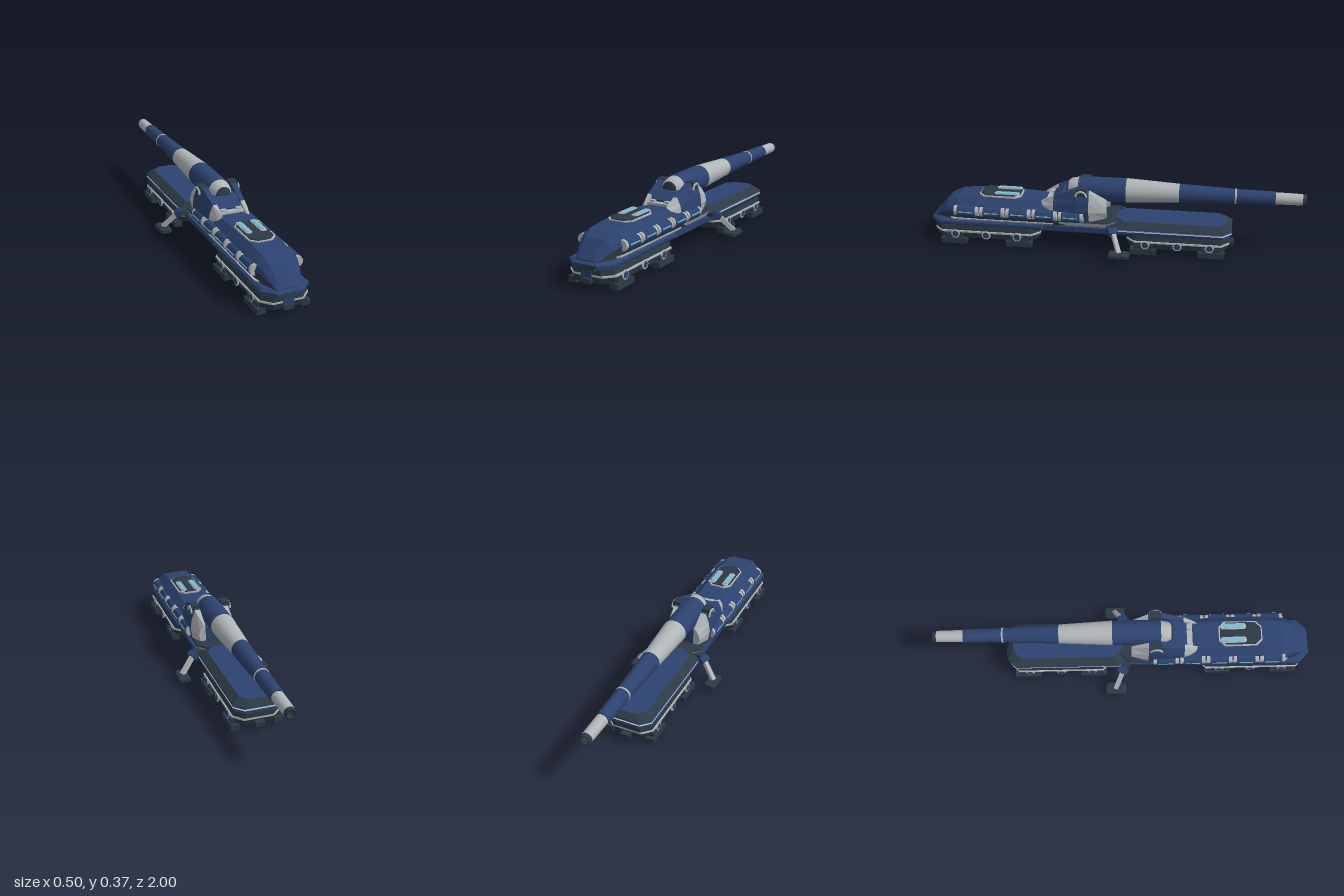
import * as THREE from 'three';

const mat = (name, color) => Object.assign(new THREE.MeshStandardMaterial({ color }), { name });
const navy = mat('navy blue', 0x2c426f);
const slate = mat('dark slate', 0x2c3a45);
const light = mat('light grey', 0xb0b5b8);
const glass = mat('cyan glass', 0x78bcd2);

// Skin closed rings of [x, y] stacked along z; pick(segment, row) gives each face its material
function loft(sections, pick) {
  const tris = new Map();
  const add = (m, ...pts) => {
    if (!tris.has(m)) tris.set(m, []);
    for (const p of pts) tris.get(m).push(...p);
  };
  const n = sections[0].ring.length, last = sections.length - 1;
  const at = (i, j) => [...sections[i].ring[j % n], sections[i].z];
  for (let i = 0; i < last; i++) {
    for (let j = 0; j < n; j++) {
      const [a, b, c, d] = [at(i, j), at(i, j + 1), at(i + 1, j + 1), at(i + 1, j)];
      add(pick(i, j), a, b, c, a, c, d);
    }
  }
  for (let j = 1; j < n - 1; j++) {
    add(pick(0, -1), at(0, 0), at(0, j + 1), at(0, j));
    add(pick(last - 1, -2), at(last, 0), at(last, j), at(last, j + 1));
  }
  const g = new THREE.BufferGeometry(), all = [], mats = [...tris.keys()];
  mats.forEach((m, k) => {
    const arr = tris.get(m);
    g.addGroup(all.length / 3, arr.length / 3, k);
    for (const v of arr) all.push(v);
  });
  g.setAttribute('position', new THREE.Float32BufferAttribute(all, 3));
  g.computeVertexNormals();
  return [g, mats];
}

// Mirror a right-hand profile, listed bottom to top, into a closed ring
const sym = (pts) => [...pts, ...pts.map(([x, y]) => [-x, y]).reverse()];

export function createModel() {
  const model = new THREE.Group();
  const put = (name, g, m, x = 0, y = 0, z = 0) => {
    const mesh = new THREE.Mesh(g, m);
    mesh.name = name;
    mesh.position.set(x, y, z);
    model.add(mesh);
    return mesh;
  };
  const box = (name, m, w, h, d, x, y, z) => put(name, new THREE.BoxGeometry(w, h, d), m, x, y, z);

  // Slab with cut corners in plan; levels are [y, halfWidth, endInset], one material per layer
  const slab = (name, z0, z1, cut, levels, mats, top) => {
    const secs = levels.map(([y, w, e = 0]) => {
      const a = z0 + e, b = z1 - e, c = w - cut;
      return { z: y, ring: [[c, -b], [w, -b + cut], [w, -a - cut], [c, -a], [-c, -a], [-w, -a - cut], [-w, -b + cut], [-c, -b]] };
    });
    const [g, ms] = loft(secs, (i, j) => (j === -2 && top) || mats[i]);
    return put(name, g.rotateX(-Math.PI / 2), ms);
  };

  // Bogies with a light trim line
  for (const [z0, z1] of [[0.4, 0.98], [-0.615, -0.07]]) {
    slab('bogie', z0, z1, 0.045,
      [[0.012, 0.085, 0.05], [0.03, 0.115, 0.01], [0.062, 0.122], [0.063, 0.126], [0.072, 0.126], [0.073, 0.12], [0.1, 0.115]],
      [slate, slate, light, light, light, slate]);
    const mid = (z0 + z1) / 2;
    box('coupler', slate, 0.05, 0.022, 0.03, 0, 0.042, z0 > 0 ? 0.98 : -0.625);
    for (const s of [-1, 1]) {
      for (const dz of [-0.18, 0.18]) {
        box('trackShoe', slate, 0.045, 0.03, 0.14, s * 0.114, 0.016, mid + dz);
        box('shoeBracket', slate, 0.02, 0.03, 0.1, s * 0.118, 0.038, mid + dz);
      }
      for (const dz of [-0.17, 0, 0.17]) {
        put('wheelRing', new THREE.TorusGeometry(0.02, 0.005, 6, 16).rotateY(Math.PI / 2), light, s * 0.125, 0.053, mid + dz);
        put('wheelHub', new THREE.CylinderGeometry(0.017, 0.017, 0.02, 12).rotateZ(Math.PI / 2), navy, s * 0.12, 0.053, mid + dz);
      }
    }
  }

  // Chassis beam, running the full length
  slab('chassis', -0.6, 0.97, 0.04, [[0.085, 0.09, 0.02], [0.1, 0.112], [0.128, 0.114]], [slate, navy]);
  slab('frontSkirt', 0.33, 1, 0.055, [[0.095, 0.105, 0.04], [0.11, 0.122], [0.124, 0.122], [0.134, 0.108, 0.015]], [slate, navy, navy]);
  slab('frontTrim', 0.3, 0.9, 0.03, [[0.134, 0.113], [0.142, 0.116]], [light]);
  box('noseGrille', slate, 0.11, 0.024, 0.03, 0, 0.108, 0.985);
  box('noseBlock', navy, 0.055, 0.036, 0.03, 0, 0.076, 0.973);

  // Rear deck: blue lip, light trim, dark slopes and blue top
  slab('rearDeck', -0.625, 0.02, 0.045,
    [[0.1, 0.112, 0.02], [0.114, 0.124], [0.122, 0.124], [0.123, 0.12, 0.01], [0.13, 0.12, 0.01], [0.131, 0.124], [0.14, 0.122], [0.166, 0.085, 0.03]],
    [navy, navy, light, light, light, navy, slate], navy);

  // Front hull with a sloped nose; bottom row is dark
  const hull = [[0.1, 0.08, 0.1, 0.235], [0.3, 0.105, 0.118, 0.24], [0.5, 0.105, 0.12, 0.253], [0.74, 0.105, 0.12, 0.257],
    [0.85, 0.102, 0.116, 0.247], [0.91, 0.092, 0.095, 0.222], [0.985, 0.06, 0.06, 0.14]];
  const hullSecs = hull.map(([z, b, w, t]) => ({
    z, ring: sym([[b, 0.125], [w, 0.125 + (t - 0.125) * 0.5], [w * 0.92, 0.125 + (t - 0.125) * 0.72], [w * 0.6, t]]),
  }));
  put('frontHull', ...loft(hullSecs, (i, j) => (j === 0 || j === 6 || j === 7 ? slate : navy)));

  // Roof hatch and windows
  slab('hatchRim', 0.505, 0.735, 0.03, [[0.245, 0.07], [0.262, 0.068]], [light]);
  slab('roofHatch', 0.512, 0.728, 0.03, [[0.25, 0.063], [0.268, 0.061]], [slate]);
  for (const s of [-1, 1]) {
    slab('windowFrame', 0.515, 0.65, 0.008, [[0.266, 0.017], [0.272, 0.016]], [light]).position.x = s * 0.038;
    slab('roofWindow', 0.525, 0.635, 0.006, [[0.27, 0.012], [0.275, 0.011]], [glass]).position.x = s * 0.038;
  }

  for (const s of [-1, 1]) {
    // Row of side pods with light collars
    for (let k = 0; k < 5; k++) {
      const z = 0.792 - k * 0.142;
      const tube = (r, len) => new THREE.CylinderGeometry(r, r, len, 10).rotateX(Math.PI / 2).toNonIndexed();
      const pod = tube(0.031, 0.098);
      pod.computeVertexNormals();
      put('sidePod', pod, navy, s * 0.109, 0.186, z);
      box('podLight', glass, 0.004, 0.006, 0.08, s * 0.139, 0.19, z);
      for (const e of [-1, 1]) put('podCollar', tube(0.028, 0.022), light, s * 0.109, 0.188, z + e * 0.056);
    }

    // Turret cheek: grey front, blue middle, grey back
    const cheek = [[0.04, 0.1, 0.18, 0.275], [0.13, 0.12, 0.16, 0.325], [0.2, 0.122, 0.155, 0.34], [0.32, 0.112, 0.165, 0.29], [0.39, 0.09, 0.18, 0.255]];
    const secs = cheek.map(([z, w, b, t]) => {
      const h = t - b;
      const ring = [[0.06, b], [w - 0.01, b], [w, b + h * 0.35], [w - 0.006, b + h * 0.65], [w - 0.025, t], [0.065, t]];
      return { z, ring: s > 0 ? ring : ring.map(([x, y]) => [-x, y]).reverse() };
    });
    put('turretCheek', ...loft(secs, (i) => (i === 1 || i === 2 ? navy : light)));
    box('trunnionBlock', slate, 0.042, 0.04, 0.055, s * 0.086, 0.323, 0.17);
    put('trunnionRing', new THREE.TorusGeometry(0.028, 0.006, 6, 16, Math.PI).rotateY(Math.PI / 2), light, s * 0.11, 0.305, 0.17);

    // Outrigger: hinge, strut and ground pad
    const a = new THREE.Vector3(s * 0.14, 0.138, 0), b = new THREE.Vector3(s * 0.222, 0.045, -0.045);
    const strut = box('outriggerStrut', light, 0.022, 0.024, a.distanceTo(b), 0, 0, 0);
    strut.position.copy(a).lerp(b, 0.5);
    strut.lookAt(b);
    const hinge = box('outriggerHinge', navy, 0.034, 0.032, 0.05, s * 0.147, 0.13, -0.004);
    hinge.rotation.set(0, s * 0.5, -s * 0.5);
    box('outriggerBracket', slate, 0.06, 0.024, 0.04, s * 0.11, 0.136, 0.015);
    slab('outriggerPad', -0.1, 0.01, 0.01, [[0.025, 0.031], [0.04, 0.031], [0.046, 0.026, 0.005]], [slate, slate]).position.x = s * 0.22;
  }

  // Turret core and light sill
  const core = [[0.06, 0.07, 0.25], [0.22, 0.075, 0.308], [0.28, 0.075, 0.305], [0.335, 0.068, 0.268]];
  put('turretCore', ...loft(core.map(([z, w, t]) => ({ z, ring: sym([[w, 0.14], [w, t - 0.03], [w - 0.008, t]]) })), () => navy));
  box('turretSill', light, 0.14, 0.012, 0.06, 0, 0.254, 0.335);
  for (const s of [-1, 1]) box('sillLamp', light, 0.03, 0.01, 0.02, s * 0.042, 0.265, 0.345);
  slab('turretBase', -0.02, 0.34, 0.05, [[0.13, 0.1], [0.155, 0.115], [0.165, 0.11]], [light, slate]);

  // Barrel bands turned about the z axis, profiles as [radius, distance back]
  const bands = [
    ['breechFace', slate, [[0, -0.262], [0.038, -0.258], [0.04, -0.248]]],
    ['breechDome', light, [[0.04, -0.25], [0.052, -0.235], [0.06, -0.195]]],
    ['breech', navy, [[0.06, -0.195], [0.064, -0.12], [0.065, 0.06]]],
    ['barrelGreyBand', light, [[0.065, 0.06], [0.05, 0.34]]],
    ['barrelBlueBand', navy, [[0.05, 0.34], [0.039, 0.63]]],
    ['barrelRing', light, [[0.039, 0.63], [0.0405, 0.631], [0.0405, 0.639], [0.038, 0.64]]],
    ['barrelFrontBand', navy, [[0.038, 0.64], [0.036, 0.84]]],
    ['muzzleBand', light, [[0.032, 0.84], [0.03, 0.98]]],
    ['muzzle', slate, [[0.028, 0.975], [0.028, 1], [0.018, 1], [0.017, 0.93], [0, 0.93]]],
  ];
  for (const [name, m, pts] of bands) {
    const g = new THREE.LatheGeometry(pts.map(([r, l]) => new THREE.Vector2(r, l)), 20);
    put(name, g.rotateX(-Math.PI / 2), m, 0, 0.309, 0);
  }
  return model;
}
